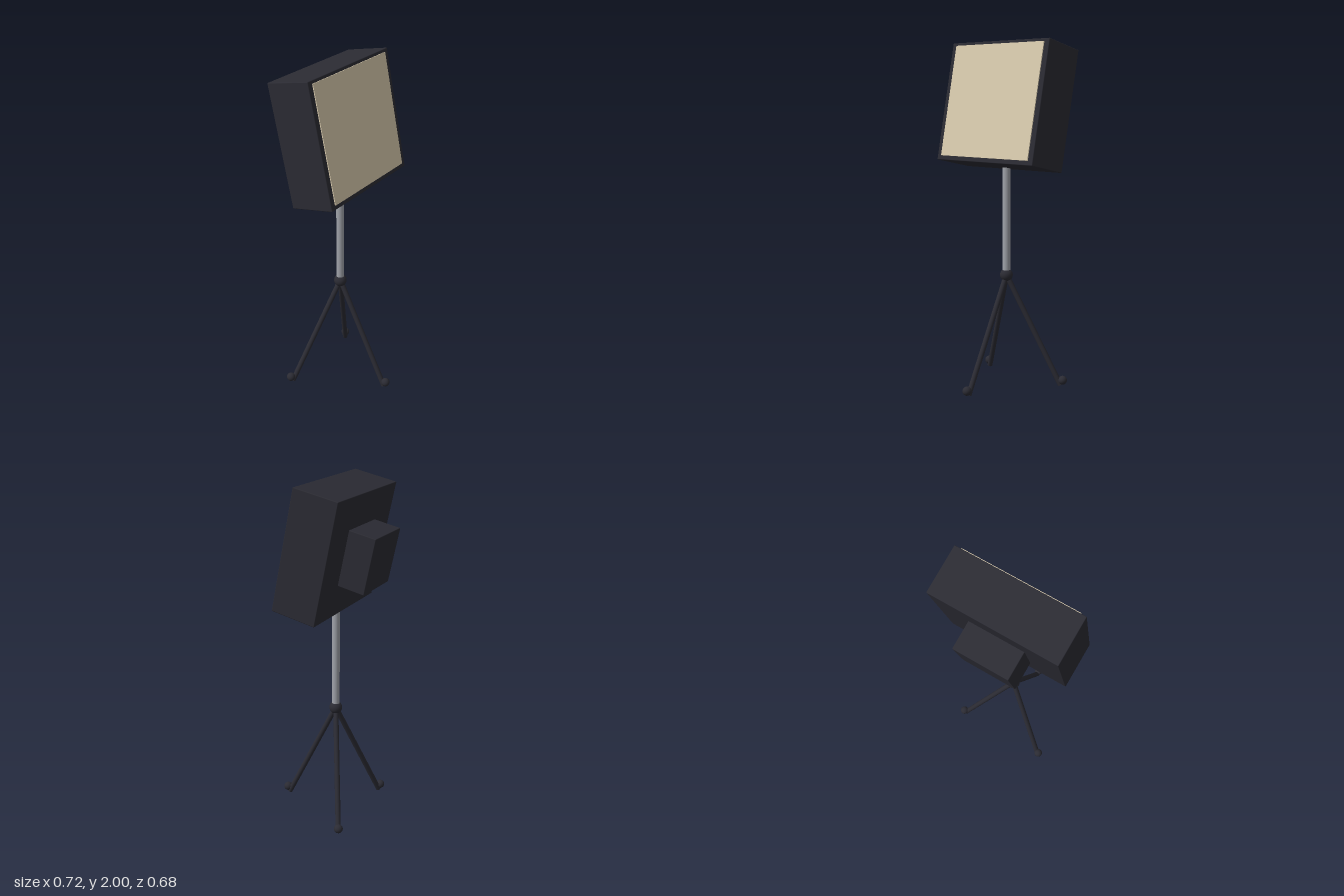
import * as THREE from 'three';
import { RoundedBoxGeometry } from 'three/addons/geometries/RoundedBoxGeometry.js';

export function createModel() {
  const model = new THREE.Group();
  const material = (name, color) => {
    const m = new THREE.MeshStandardMaterial({ color });
    m.name = name;
    return m;
  };
  const dark = material('darkCasing', 0x2b2b33);
  const cream = material('creamDiffuser', 0xd8caad);
  const metal = material('greyMetal', 0xa0a3aa);

  const add = (parent, name, geometry, mat, x, y, z) => {
    const mesh = new THREE.Mesh(geometry, mat);
    mesh.name = name;
    mesh.position.set(x, y, z);
    parent.add(mesh);
    return mesh;
  };

  // Round bar between two points
  const bar = (name, a, b, radius, mat) => {
    const dir = b.clone().sub(a);
    const mid = a.clone().add(b).multiplyScalar(0.5);
    const mesh = add(model, name, new THREE.CylinderGeometry(radius, radius, dir.length(), 20), mat, mid.x, mid.y, mid.z);
    mesh.quaternion.setFromUnitVectors(new THREE.Vector3(0, 1, 0), dir.normalize());
  };

  // Lamp head, tipped back
  const head = new THREE.Group();
  head.name = 'lampHead';
  head.position.set(0, 1.637, -0.021);
  head.rotation.x = -THREE.MathUtils.degToRad(12);
  model.add(head);
  const depth = 0.265;
  add(head, 'housing', new RoundedBoxGeometry(0.72, 0.688, depth, 2, 0.004), dark, 0, 0, 0);
  add(head, 'diffuserPanel', new THREE.BoxGeometry(0.655, 0.645, 0.009), cream, 0, 0.004, depth / 2 + 0.001);
  add(head, 'rearPowerBox', new RoundedBoxGeometry(0.32, 0.318, 0.178, 2, 0.004), dark, 0, 0, -depth / 2 - 0.069);

  // Stand pole and hub
  const hub = new THREE.Vector3(0, 0.657, -0.025);
  bar('pole', hub, new THREE.Vector3(0, 1.36, hub.z), 0.023, metal);
  add(model, 'hub', new THREE.SphereGeometry(0.038, 24, 16), dark, hub.x, hub.y, hub.z);

  // Three legs at 120 degrees, one pointing forward
  for (let i = 0; i < 3; i++) {
    const angle = (i * Math.PI * 2) / 3;
    const at = (r, y) => new THREE.Vector3(Math.sin(angle) * r, y, hub.z + Math.cos(angle) * r);
    bar('leg', hub, at(0.325, 0.008), 0.0155, dark);
    const foot = at(0.338, 0.037);
    add(model, 'foot', new THREE.SphereGeometry(0.026, 20, 14), dark, foot.x, foot.y, foot.z);
  }
  return model;
}
